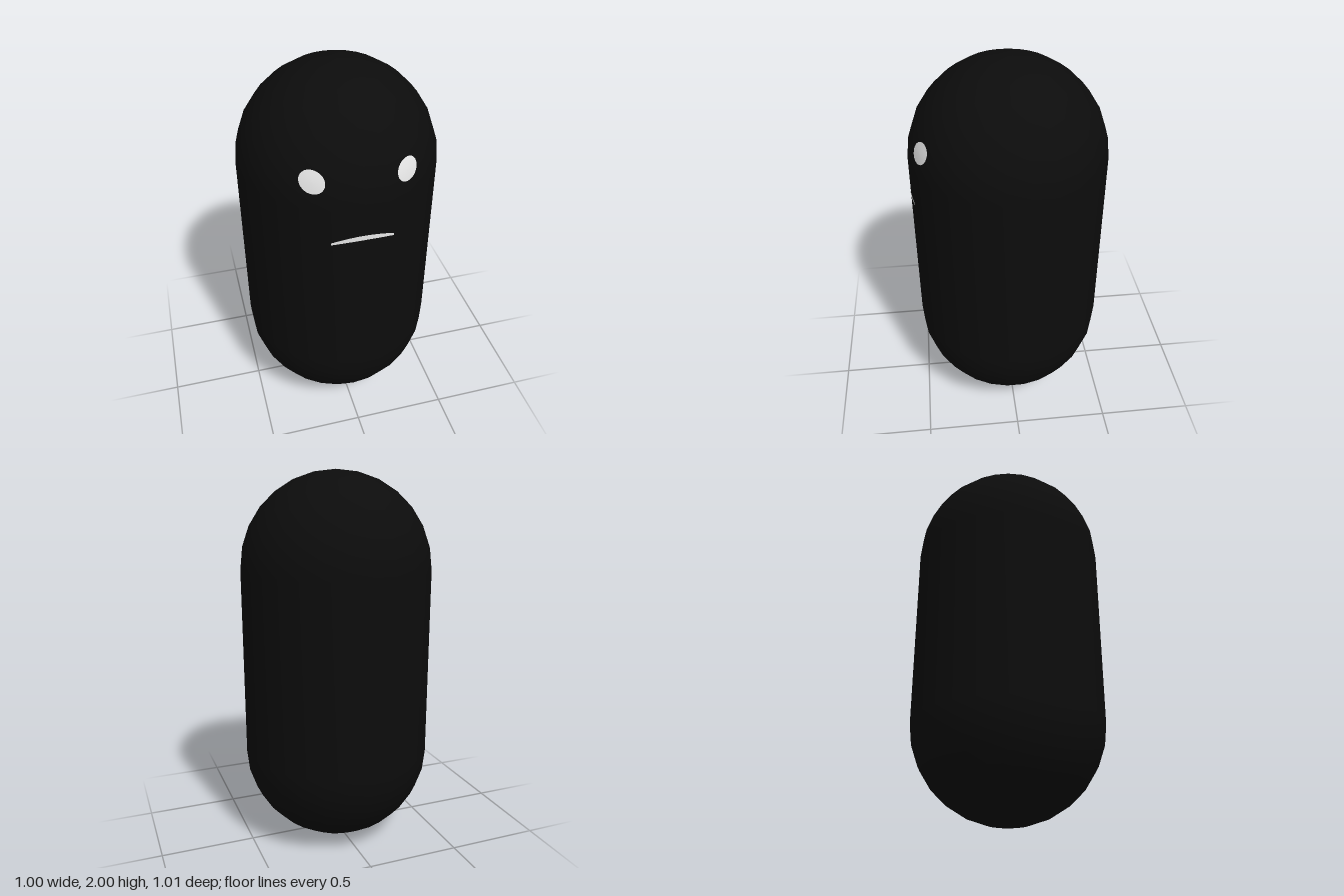
import * as THREE from 'three';

const R = 0.504, TOP = 1.496, BOTTOM = 0.504;

// z of the rounded body's front at (x, y), lifted slightly off the surface
function frontZ(x, y) {
  const dy = Math.max(0, y - TOP);
  return Math.sqrt(R * R - x * x - dy * dy) + 0.002;
}

// wraps a flat, front-facing geometry onto the body
function wrap(geometry) {
  const p = geometry.attributes.position;
  for (let i = 0; i < p.count; i++) p.setZ(i, frontZ(p.getX(i), p.getY(i)));
  geometry.computeVertexNormals();
  return geometry;
}

export function createModel() {
  const group = new THREE.Group();
  const black = new THREE.MeshStandardMaterial({ color: 0x0c0c0c });
  black.name = 'black';
  const white = new THREE.MeshStandardMaterial({ color: 0xf4f4f4 });
  white.name = 'white';

  const add = (name, geometry, material) => {
    const mesh = new THREE.Mesh(geometry, material);
    mesh.name = name;
    group.add(mesh);
  };

  // capsule body: two domes joined by a straight wall
  const profile = [];
  const steps = 7;
  for (let i = 0; i <= steps; i++) {
    const a = (i / steps) * Math.PI / 2;
    profile.push(new THREE.Vector2(R * Math.sin(a), BOTTOM - R * Math.cos(a)));
  }
  for (let i = steps; i >= 0; i--) {
    const a = (i / steps) * Math.PI / 2;
    profile.push(new THREE.Vector2(R * Math.sin(a), TOP + R * Math.cos(a)));
  }
  add('body', new THREE.LatheGeometry(profile, 26), black);

  // round eyes
  for (const [name, x] of [['leftEye', 0.215], ['rightEye', -0.225]]) {
    const eye = new THREE.RingGeometry(0.0005, 0.054, 24, 3);
    eye.translate(x, 1.634, 0);
    add(name, wrap(eye), white);
  }

  // thin frowning mouth, tapering to its ends
  const mouth = new THREE.PlaneGeometry(2, 1, 24, 1);
  const p = mouth.attributes.position;
  for (let i = 0; i < p.count; i++) {
    const t = p.getX(i);
    const width = 0.026 - 0.014 * t * t;
    p.setXY(i, t * 0.153, 1.338 - 0.025 * t * t + p.getY(i) * width);
  }
  add('mouth', wrap(mouth), white);

  return group;
}
